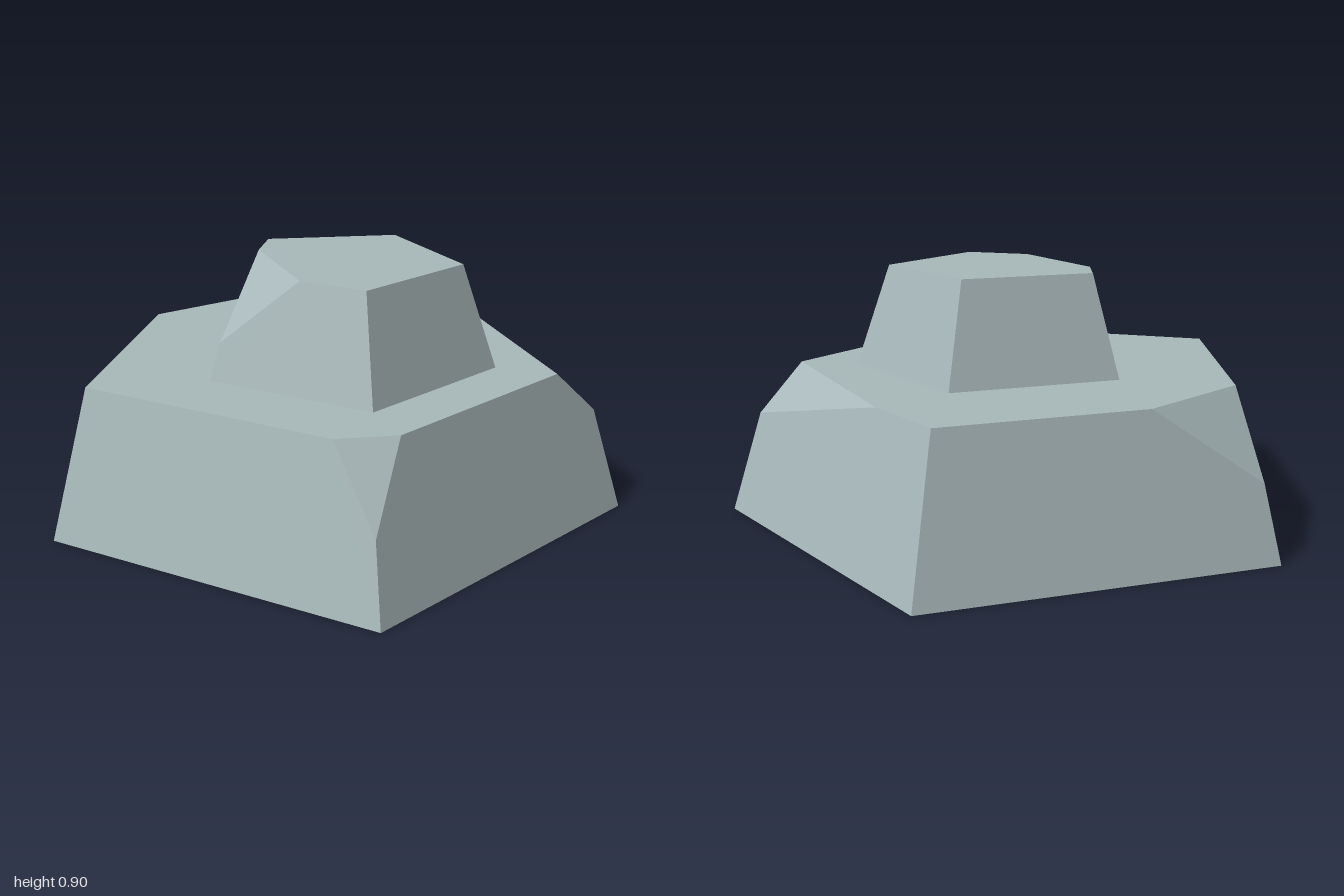
import * as THREE from 'three';
import { ConvexGeometry } from 'three/addons/geometries/ConvexGeometry.js';

const stone = new THREE.MeshStandardMaterial({ color: 0xa8b8ba, flatShading: true });
stone.name = 'blue grey stone';

// Tapered rock tier with chipped top corners.
// corners: base outline [x, z]; centre/scale: how the outline shrinks to the top.
// chips: { cornerIndex: [height fraction, cut towards previous, cut towards next] }
function rockTier(name, corners, y0, y1, centre, scale, chips) {
  const base = corners.map(([x, z]) => new THREE.Vector3(x, y0, z));
  const top = corners.map(([x, z]) => new THREE.Vector3(
    centre[0] + (x - centre[0]) * scale, y1, centre[1] + (z - centre[1]) * scale));
  const n = corners.length;
  const points = [...base];
  for (let i = 0; i < n; i++) {
    const chip = chips[i];
    if (!chip) {
      points.push(top[i]);
      continue;
    }
    points.push(
      base[i].clone().lerp(top[i], chip[0]),
      top[i].clone().lerp(top[(i + n - 1) % n], chip[1]),
      top[i].clone().lerp(top[(i + 1) % n], chip[2]));
  }
  const mesh = new THREE.Mesh(new ConvexGeometry(points), stone);
  mesh.name = name;
  return mesh;
}

export function createModel() {
  const group = new THREE.Group();
  group.name = 'steppedRock';

  // Wide lower tier, three corners chipped
  group.add(rockTier('lowerRock',
    [[-0.42, -1], [0.81, -0.8], [0.99, 0.44], [-0.12, 0.99], [-0.995, 0.1]],
    0, 0.535, [0, 0], 0.853,
    { 1: [0.69, 0.695, 0.137], 2: [0.5, 0.123, 0.121], 4: [0.5, 0.21, 0.32] }));

  // Small upper tier, front corner chipped
  group.add(rockTier('upperRock',
    [[-0.065, -0.51], [0.54, -0.41], [0.63, 0.2], [0.08, 0.47], [-0.35, 0.035]],
    0.535, 0.9, [0.15, -0.025], 0.77,
    { 3: [0.356, 0.49, 0.65] }));

  return group;
}
